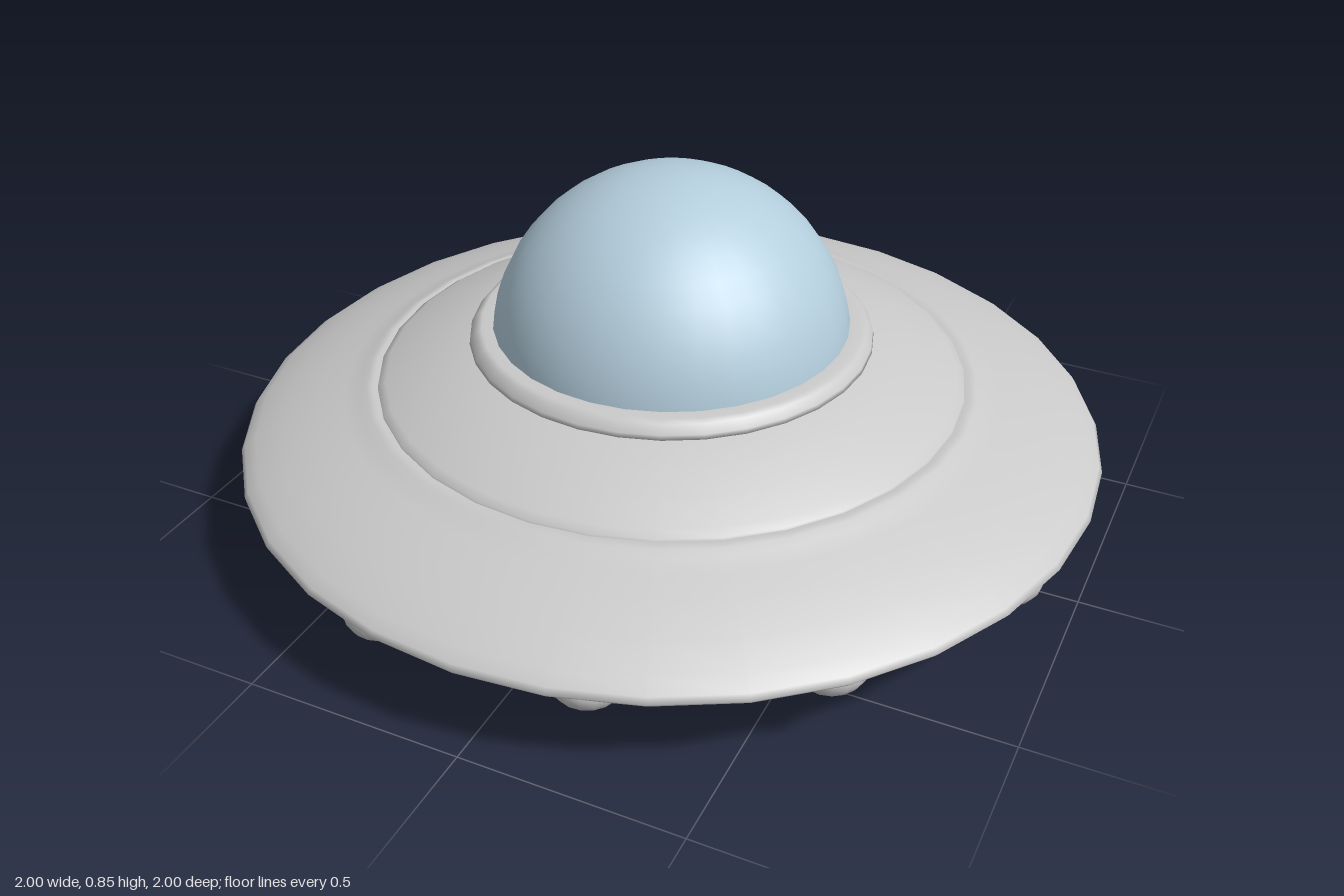
import * as THREE from 'three';

const SEGMENTS = 32;

export function createModel() {
  const hullGrey = new THREE.MeshStandardMaterial({ color: 0xcacaca });
  hullGrey.name = 'hull grey';
  const glassBlue = new THREE.MeshStandardMaterial({ color: 0xb4cedd });
  glassBlue.name = 'glass blue';
  const baseDark = new THREE.MeshStandardMaterial({ color: 0x34323c });
  baseDark.name = 'base dark';

  const model = new THREE.Group();
  model.name = 'flyingSaucer';

  // Profiles run from bottom to top as [radius, height]
  function addLathe(name, profile, material) {
    const points = profile.map(([r, y]) => new THREE.Vector2(r, y));
    const mesh = new THREE.Mesh(new THREE.LatheGeometry(points, SEGMENTS), material);
    mesh.name = name;
    model.add(mesh);
  }

  // Wide lower disc with a soft rim
  addLathe('lowerHull', [
    [0.3, 0.045], [0.4, 0.05], [0.55, 0.062], [0.7, 0.086], [0.82, 0.118],
    [0.91, 0.155], [0.965, 0.19], [0.99, 0.21], [1.0, 0.222], [0.992, 0.235],
    [0.965, 0.255], [0.9, 0.287], [0.82, 0.318], [0.76, 0.336], [0.72, 0.35],
    [0.705, 0.359], [0.69, 0.361], [0.67, 0.357],
  ], hullGrey);

  // Raised upper tier
  addLathe('upperHull', [
    [0.68, 0.352], [0.678, 0.364], [0.66, 0.376], [0.6, 0.404],
    [0.53, 0.433], [0.46, 0.455], [0.4, 0.468],
  ], hullGrey);

  // Collar holding the dome
  addLathe('domeCollar', [
    [0.45, 0.45], [0.464, 0.457], [0.462, 0.468], [0.448, 0.486],
    [0.435, 0.492], [0.4, 0.492],
  ], hullGrey);

  // Glass dome, a little more than its visible cap
  const dome = new THREE.Mesh(
    new THREE.SphereGeometry(0.413, SEGMENTS, 12, 0, Math.PI * 2, 0, Math.PI / 2), glassBlue);
  dome.name = 'glassDome';
  dome.position.y = 0.435;
  model.add(dome);

  // Flared base plate under the hull
  const base = new THREE.Mesh(new THREE.CylinderGeometry(0.36, 0.415, 0.052, SEGMENTS), baseDark);
  base.name = 'basePlate';
  base.position.y = 0.026;
  model.add(base);

  // Twelve flattened bumps around the rim
  const bumpGeometry = new THREE.SphereGeometry(1, 16, 10);
  for (let i = 0; i < 12; i++) {
    const angle = (i + 0.5) * Math.PI / 6;
    const bump = new THREE.Mesh(bumpGeometry, hullGrey);
    bump.name = 'rimBump';
    bump.scale.set(0.077, 0.056, 0.07);
    bump.position.set(Math.sin(angle) * 0.92, 0.208, Math.cos(angle) * 0.92);
    bump.rotation.y = angle;
    model.add(bump);
  }

  return model;
}
